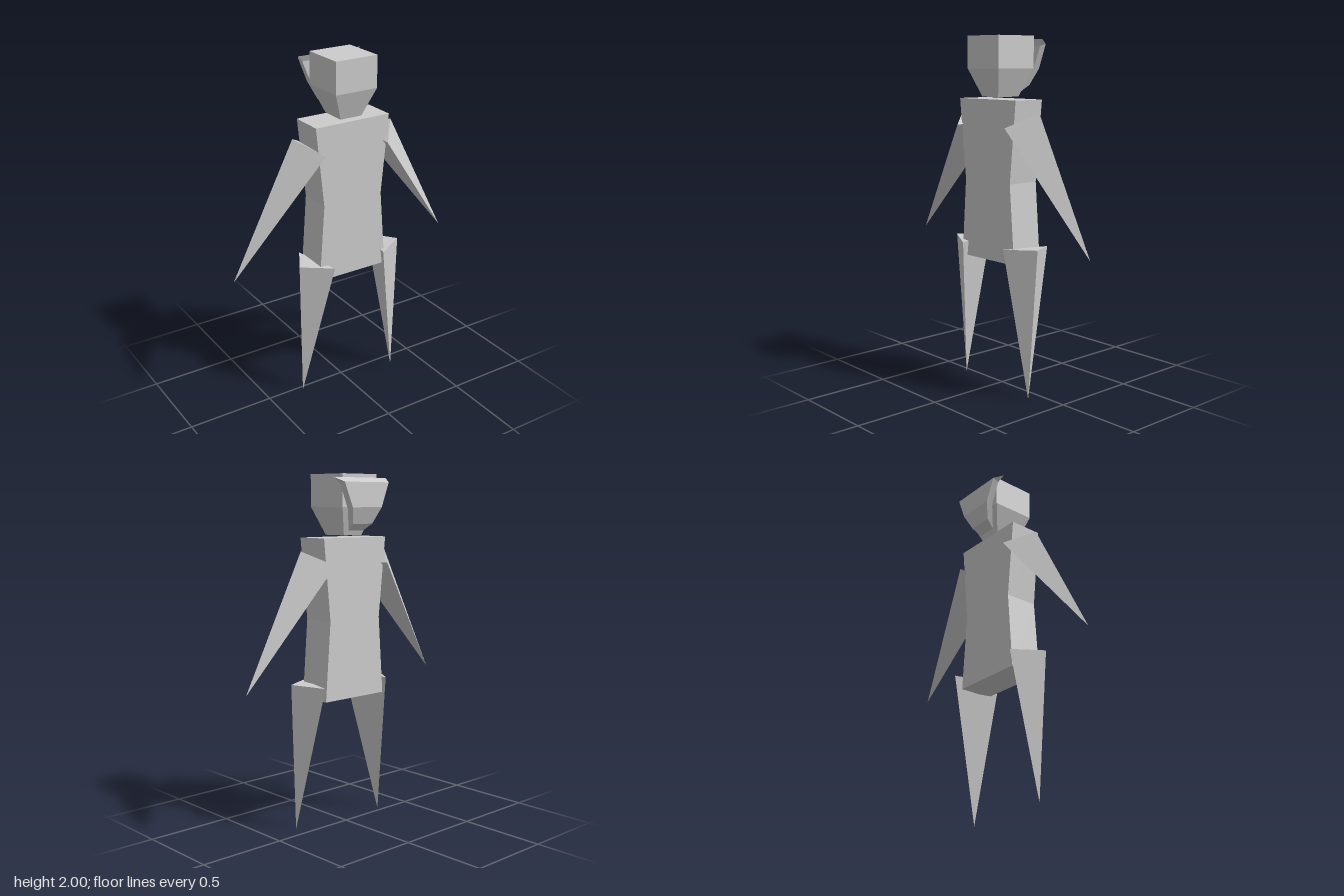
import * as THREE from 'three';
import { ConvexGeometry } from 'three/addons/geometries/ConvexGeometry.js';

export function createModel() {
  const group = new THREE.Group();
  const grey = new THREE.MeshStandardMaterial({ color: 0xcccccc });
  grey.name = 'light grey';

  const add = (name, geometry) => {
    const mesh = new THREE.Mesh(geometry, grey);
    mesh.name = name;
    group.add(mesh);
  };
  const hull = (points) => new ConvexGeometry(points.map((p) => new THREE.Vector3(...p)));
  const shape = (points) => new THREE.Shape(points.map((p) => new THREE.Vector2(...p)));

  // Torso: waisted outline with constant depth
  const torso = new THREE.ExtrudeGeometry(
    shape([[-0.215, 0.755], [0.225, 0.755], [0.19, 1.2], [0.235, 1.655], [-0.23, 1.655], [-0.182, 1.2]]),
    { depth: 0.195, bevelEnabled: false });
  torso.translate(0, 0, -0.08);
  add('torso', torso);

  // Head: square block narrowing to the chin
  const headPoints = [];
  for (const [y, x0, x1, z0, z1] of [
    [2, -0.125, 0.132, -0.115, 0.145],
    [1.822, -0.125, 0.132, -0.115, 0.145],
    [1.667, -0.063, 0.07, -0.058, 0.092],
  ]) {
    for (const x of [x0, x1]) for (const z of [z0, z1]) headPoints.push([x, y, z]);
  }
  add('head', hull(headPoints));

  // Hair: bent plate behind the head (profile is z, y), tapering downwards
  const hair = new THREE.ExtrudeGeometry(
    shape([[-0.116, 1.98], [-0.172, 1.955], [-0.175, 1.82], [-0.138, 1.73],
      [-0.085, 1.693], [-0.132, 1.812], [-0.132, 1.945]]),
    { depth: 2, bevelEnabled: false });
  hair.translate(0, 0, -1).rotateY(-Math.PI / 2);
  const halfWidth = (y) => (y > 1.945 ? 0.162 + (y - 1.945) : 0.162 - (1.945 - y) * 0.42);
  const pos = hair.attributes.position;
  for (let i = 0; i < pos.count; i++) {
    const w = pos.getY(i) > 1.95 && pos.getZ(i) < -0.15 ? 0.165 : halfWidth(pos.getY(i));
    pos.setX(i, pos.getX(i) * w + 0.003);
  }
  hair.computeVertexNormals();
  add('hair', hair);

  // Arms: three-sided spikes hanging outwards
  for (const [name, s] of [['leftArm', 1], ['rightArm', -1]]) {
    add(name, hull([
      [s * 0.317, 1.585, 0.017], [s * 0.198, 1.51, -0.13], [s * 0.198, 1.508, 0.162], [s * 0.7, 0.842, 0.017],
    ]));
  }

  // Legs: three-sided spikes pointing down, slightly uneven
  add('leftLeg', hull([[0.185, 0.845, 0.16], [0.355, 0.852, 0.062], [0.255, 0.84, -0.11], [0.31, 0.005, 0.085]]));
  add('rightLeg', hull([[-0.148, 0.838, 0.168], [-0.32, 0.852, 0.072], [-0.22, 0.845, -0.102], [-0.29, 0.005, 0.03]]));

  return group;
}
